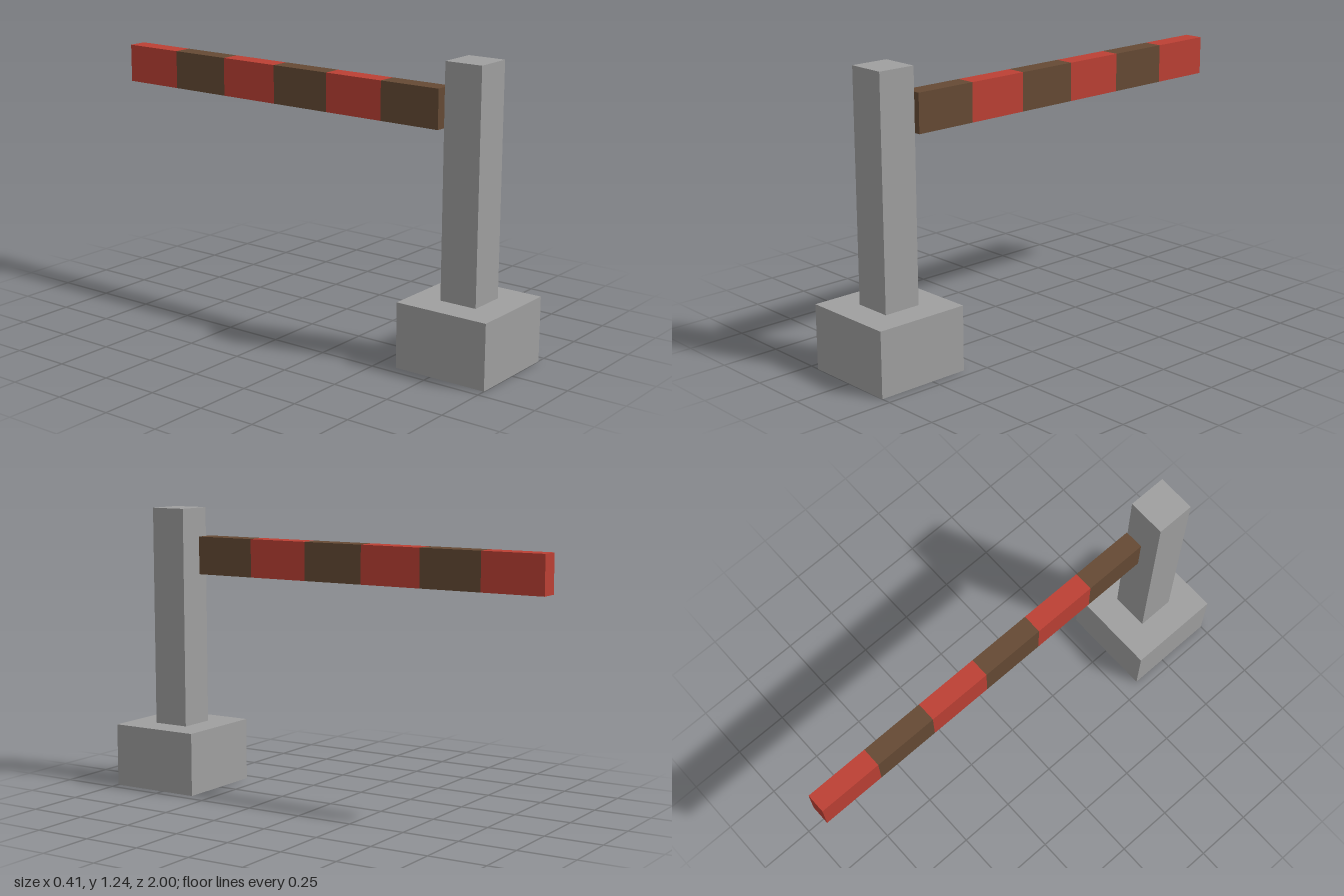
import * as THREE from 'three';

export function createModel() {
  const model = new THREE.Group();
  model.name = 'barrierGate';

  const makeMaterial = (name, color) => {
    const material = new THREE.MeshStandardMaterial({ color });
    material.name = name;
    return material;
  };
  const grey = makeMaterial('concreteGrey', 0x9f9f9f);
  const red = makeMaterial('signalRed', 0xbc4034);
  const brown = makeMaterial('darkBrown', 0x654a34);

  const addBox = (parent, name, material, [w, h, d], [x, y, z]) => {
    const mesh = new THREE.Mesh(new THREE.BoxGeometry(w, h, d), material);
    mesh.name = name;
    mesh.position.set(x, y, z);
    parent.add(mesh);
  };

  // Foundation block and upright post
  const postZ = 0.793;
  addBox(model, 'base', grey, [0.414, 0.276, 0.414], [0, 0.138, postZ]);
  addBox(model, 'post', grey, [0.165, 0.965, 0.165], [0, 0.7585, postZ]);

  // Boom of six alternating stripes, reaching back from just behind the post
  const boom = new THREE.Group();
  boom.name = 'boom';
  model.add(boom);
  const start = 0.655;
  const count = 6;
  const length = (start + 1) / count;
  for (let i = 0; i < count; i++) {
    addBox(boom, `boomStripe${i + 1}`, i % 2 ? red : brown,
      [0.083, 0.165, length], [0, 1.0375, start - (i + 0.5) * length]);
  }

  return model;
}
